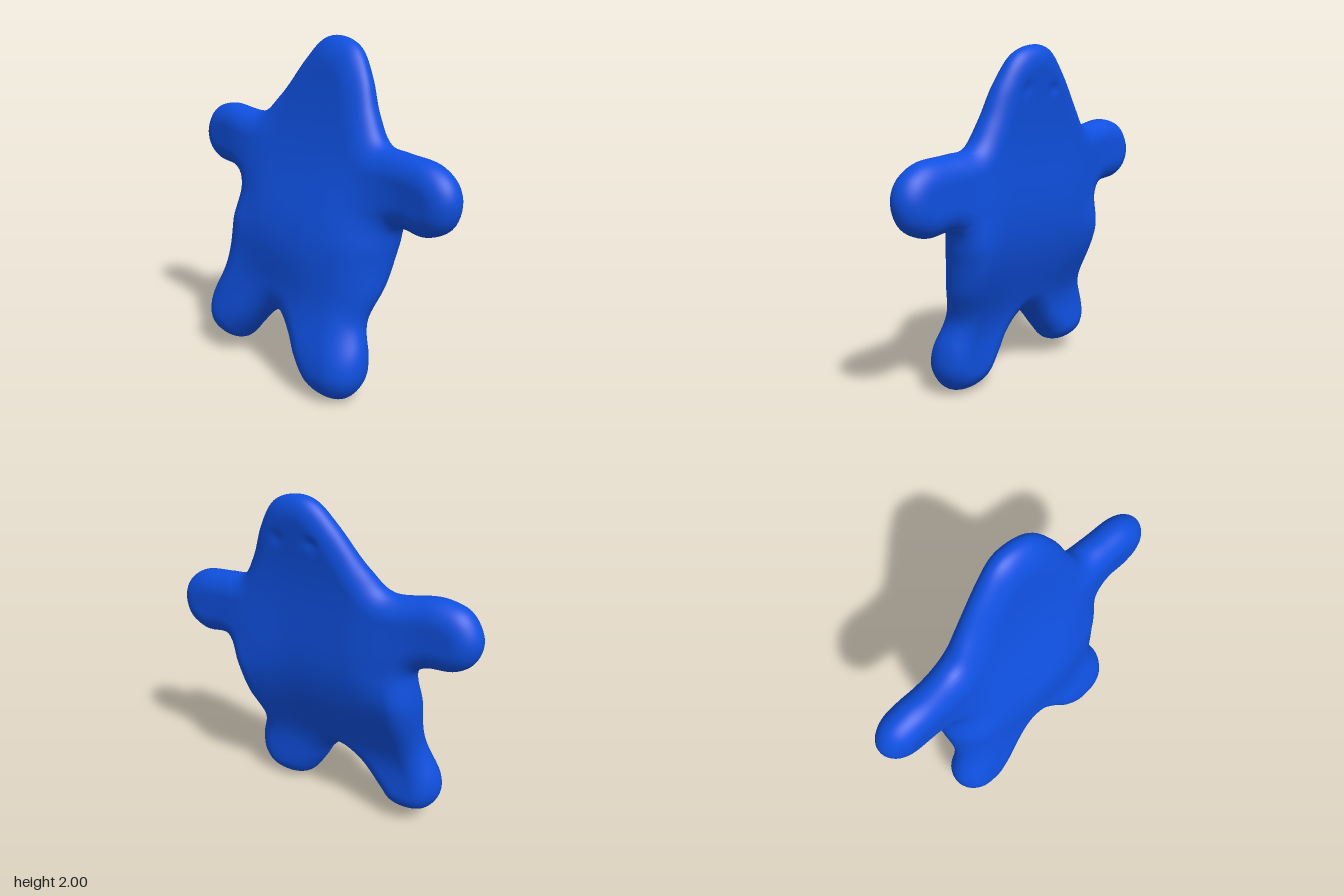
import * as THREE from 'three';

// Body outline (across, up), clockwise from the top of the head
const OUTLINE = [
  [0.06, 2.0], [0.21, 1.95], [0.325, 1.79], [0.405, 1.6], [0.5, 1.455], [0.64, 1.43], [0.85, 1.4],
  [0.96, 1.32], [0.995, 1.21], [0.95, 1.08], [0.82, 1.015], [0.63, 1.02], [0.58, 0.87], [0.545, 0.65],
  [0.495, 0.46], [0.545, 0.28], [0.54, 0.14], [0.46, 0.03], [0.33, 0.0], [0.2, 0.04], [0.1, 0.17],
  [0.02, 0.3], [-0.09, 0.39], [-0.2, 0.34], [-0.36, 0.18], [-0.44, 0.1], [-0.56, 0.08], [-0.68, 0.12],
  [-0.74, 0.22], [-0.735, 0.34], [-0.65, 0.56], [-0.65, 0.87], [-0.64, 1.1], [-0.7, 1.15],
  [-0.88, 1.18], [-0.97, 1.25], [-1.0, 1.37], [-0.92, 1.51], [-0.77, 1.555], [-0.475, 1.535],
  [-0.36, 1.64], [-0.18, 1.86], [-0.05, 1.98],
];
const CENTRE = new THREE.Vector2(0, 1.2);
const COLUMNS = 260;
const RINGS = 44; // per side

const bell = (x, mid, width) => Math.exp(-(((x - mid) / width) ** 2));

// Distance from a point to the closed outline
function edgeDistance(x, y, rim) {
  let best = Infinity;
  for (let i = 0; i < rim.length; i++) {
    const a = rim[i], b = rim[(i + 1) % rim.length];
    const dx = b.x - a.x, dy = b.y - a.y;
    const t = THREE.MathUtils.clamp(((x - a.x) * dx + (y - a.y) * dy) / (dx * dx + dy * dy), 0, 1);
    best = Math.min(best, Math.hypot(x - a.x - t * dx, y - a.y - t * dy));
  }
  return best;
}

// Depth of the padded surface; side is -1 for the belly, +1 for the flatter face
function depthAt(x, y, side, rim) {
  const { lerp, smoothstep } = THREE.MathUtils;
  const arm = smoothstep(Math.abs(x), 0.25, 0.72) * smoothstep(y, 0.85, 1.1);

  // middle of the padding: leaning body, slightly twisted hips, level arms
  const twist = 0.055 * smoothstep(x, 0.1, 0.6) * bell(y, 0.75, 0.55)
    - 0.025 * smoothstep(-x, 0.1, 0.6) * bell(y, 0.5, 0.2);
  const bodyLean = -0.2 + 0.15 * y - 0.055 * bell(y, 0.3, 0.3) + twist;
  const armLean = lerp(-0.033, 0.018, smoothstep(x, -0.4, 0.4));
  const lean = lerp(bodyLean, armLean, arm);

  // thickness and width of the rounded edge
  const bodyHalf = 0.09 + 0.08 * bell(y, 0.95, 0.45) + 0.055 * bell(y, 0.15, 0.25);
  let half = lerp(bodyHalf, 0.11, arm);
  if (side < 0) half += 0.045 * bell(y, 0.8, 0.3) * bell(x, -0.05, 0.5);
  const round = side > 0 ? 0.13 : lerp(0.16 + 0.06 * bell(y, 0.9, 0.35), 0.13, arm);
  const inset = Math.min(edgeDistance(x, y, rim) / round, 1);
  let depth = half * Math.sqrt(1 - (1 - inset) ** 2);

  // two shallow eye dimples on the face
  if (side > 0) {
    for (const eye of [0.17, -0.06]) depth -= 0.012 * bell(x, eye, 0.04) * bell(y, 1.76, 0.03);
  }
  return lean + side * depth;
}

function paddedBody() {
  const curve = new THREE.CatmullRomCurve3(
    OUTLINE.map(([x, y]) => new THREE.Vector3(x, y, 0)), true, 'centripetal');
  const rim = curve.getSpacedPoints(COLUMNS).slice(0, COLUMNS);
  const positions = [], indices = [];

  // rings run from the belly centre out to the rim and back to the face centre
  for (let j = -RINGS; j <= RINGS; j++) {
    const scale = 1 - Math.abs(j / RINGS) ** 2.2;
    const side = j < 0 ? -1 : 1;
    for (const p of rim) {
      const x = CENTRE.x + (p.x - CENTRE.x) * scale;
      const y = CENTRE.y + (p.y - CENTRE.y) * scale;
      positions.push(x, y, -depthAt(x, y, side, rim));
    }
  }
  for (let j = 0; j < 2 * RINGS; j++) {
    for (let i = 0; i < COLUMNS; i++) {
      const n = (i + 1) % COLUMNS;
      const a = j * COLUMNS + i, b = j * COLUMNS + n;
      indices.push(a, b, b + COLUMNS, a, b + COLUMNS, a + COLUMNS);
    }
  }
  const geometry = new THREE.BufferGeometry();
  geometry.setAttribute('position', new THREE.Float32BufferAttribute(positions, 3));
  geometry.setIndex(indices);
  geometry.rotateY(-Math.PI / 4); // the figure stands diagonally
  geometry.computeVertexNormals();
  return geometry;
}

export function createModel() {
  const blue = new THREE.MeshStandardMaterial({ color: 0x0f50e0 });
  blue.name = 'blue';
  const body = new THREE.Mesh(paddedBody(), blue);
  body.name = 'starBody';
  const model = new THREE.Group();
  model.name = 'starFigure';
  model.add(body);
  return model;
}
